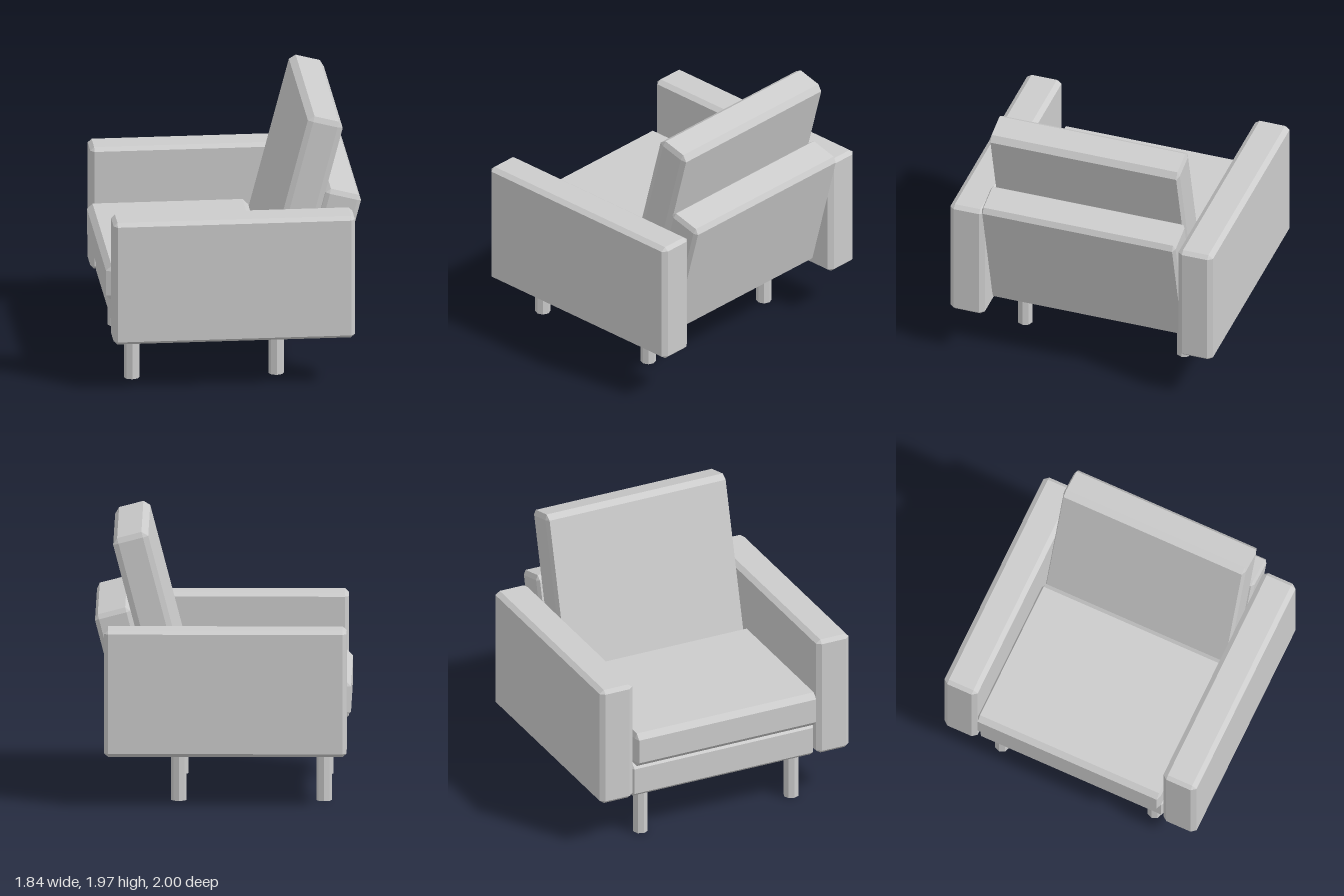
import * as THREE from 'three';
import { ConvexGeometry } from 'three/addons/geometries/ConvexGeometry.js';

const material = new THREE.MeshStandardMaterial({ color: 0xcccccc, flatShading: true });

// Box between min and max corners, with its edges cut by c = [x, y, z]
function chamferBox(name, min, max, c) {
  const half = max.map((v, i) => (v - min[i]) / 2);
  const points = [];
  for (const sx of [-1, 1]) for (const sy of [-1, 1]) for (const sz of [-1, 1]) {
    // One point per touching face, pulled in along the two other axes
    for (let face = 0; face < 3; face++) {
      const [x, y, z] = half.map((h, i) => (i === face ? h : h - c[i]));
      points.push(new THREE.Vector3(sx * x, sy * y, sz * z));
    }
  }
  const mesh = new THREE.Mesh(new ConvexGeometry(points), material);
  mesh.name = name;
  mesh.position.set(...max.map((v, i) => (v + min[i]) / 2));
  return mesh;
}

export function createModel() {
  const chair = new THREE.Group();
  chair.name = 'armchair';

  // Base and seat, open side towards -x
  chair.add(chamferBox('base', [-0.86, 0.35, -0.735], [0.45, 0.61, 0.735], [0.035, 0.03, 0.02]));
  chair.add(chamferBox('seatCushion', [-0.925, 0.62, -0.725], [0.24, 0.885, 0.725], [0.04, 0.04, 0.015]));

  // Armrests
  for (const side of [-1, 1]) {
    const z = [side * 0.737, side * 1.0].sort((a, b) => a - b);
    chair.add(chamferBox(side > 0 ? 'leftArm' : 'rightArm',
      [-0.895, 0.37, z[0]], [0.85, 1.292, z[1]], [0.028, 0.026, 0.035]));
  }

  // Reclined backrest: frame and taller cushion share one tilt
  const back = new THREE.Group();
  back.name = 'backrest';
  back.rotation.z = THREE.MathUtils.degToRad(-14.7);
  back.add(chamferBox('backCushion', [0.025, 0.75, -0.722], [0.286, 2.052, 0.722], [0.04, 0.04, 0.015]));
  back.add(chamferBox('backFrame', [0.287, 0.567, -0.738], [0.551, 1.552, 0.738], [0.03, 0.035, 0.017]));
  chair.add(back);

  // Eight-sided legs
  const legGeometry = new THREE.CylinderGeometry(0.056, 0.056, 0.37, 8);
  for (const x of [-0.73, 0.315]) for (const z of [-0.605, 0.605]) {
    const leg = new THREE.Mesh(legGeometry, material);
    leg.name = 'leg';
    leg.position.set(x, 0.185, z);
    chair.add(leg);
  }
  return chair;
}
